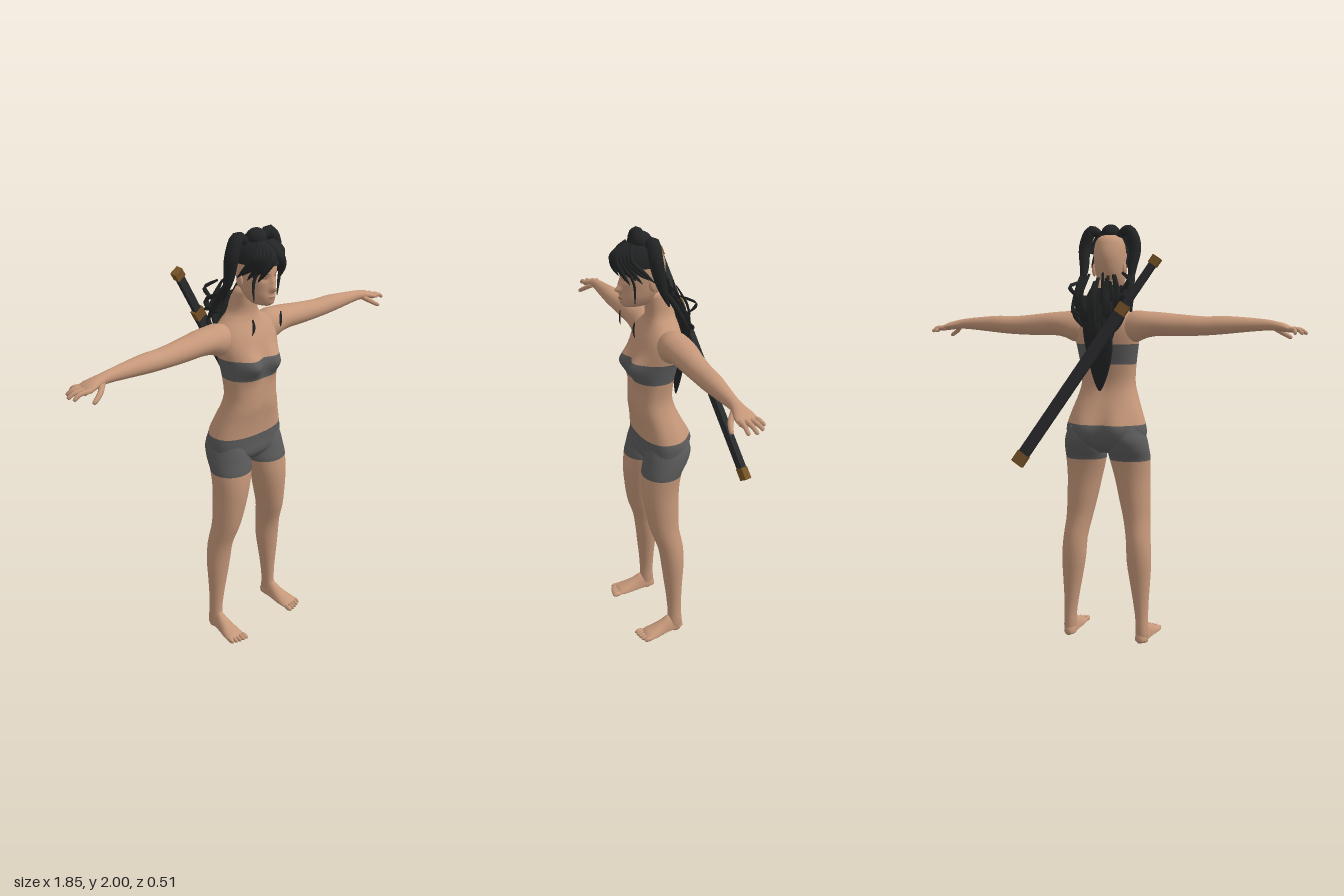
import * as THREE from 'three';

const mat = (name, color, side = THREE.FrontSide) => {
  const m = new THREE.MeshStandardMaterial({ color, side });
  m.name = name;
  return m;
};

// Smooth interpolation of key rows; the first column is the parameter
function at(keys, t) {
  let i = 0;
  while (i < keys.length - 2 && t > keys[i + 1][0]) i++;
  const a = keys[i], b = keys[i + 1], p = keys[Math.max(i - 1, 0)], n = keys[Math.min(i + 2, keys.length - 1)];
  const h = b[0] - a[0], u = (t - a[0]) / h, u2 = u * u, u3 = u2 * u;
  return a.map((v, c) => {
    const ma = (b[c] - p[c]) / (b[0] - p[0]) * h, mb = (n[c] - v) / (n[0] - a[0]) * h;
    return (2 * u3 - 3 * u2 + 1) * v + (u3 - 2 * u2 + u) * ma + (3 * u2 - 2 * u3) * b[c] + (u3 - u2) * mb;
  });
}

// Parameter values that hit every cut line, with n steps in each span
function spans(cuts, n) {
  const out = [cuts[0]];
  for (let i = 1; i < cuts.length; i++)
    for (let k = 1; k <= n; k++) out.push(cuts[i - 1] + (cuts[i] - cuts[i - 1]) * k / n);
  return out;
}

// Closed skin over rings of points; band(t) picks the material of each strip
function loft(ts, seg, point, band = () => 0) {
  const pos = [], strips = [], rings = ts.length;
  for (const t of ts) for (let j = 0; j < seg; j++) pos.push(...point(t, j / seg * Math.PI * 2));
  for (const r of [0, rings - 1]) {
    const c = [0, 0, 0];
    for (let j = 0; j < seg; j++) for (let k = 0; k < 3; k++) c[k] += pos[(r * seg + j) * 3 + k] / seg;
    pos.push(...c);
  }
  for (let i = 0; i < rings - 1; i++) {
    const tris = [];
    for (let j = 0; j < seg; j++) {
      const k = (j + 1) % seg, a = i * seg + j, b = i * seg + k, c = a + seg, d = b + seg;
      tris.push([a, c, b], [b, c, d]);
      if (i === 0) tris.push([rings * seg, a, b]);
      if (i === rings - 2) tris.push([rings * seg + 1, d, c]);
    }
    strips.push({ tris, m: band((ts[i] + ts[i + 1]) / 2) });
  }
  // Turn all corners outward by the sign of the enclosed volume
  const V = i => new THREE.Vector3(pos[i * 3], pos[i * 3 + 1], pos[i * 3 + 2]);
  let vol = 0;
  for (const s of strips) for (const [a, b, c] of s.tris) vol += V(a).dot(V(b).cross(V(c)));
  const g = new THREE.BufferGeometry(), index = [];
  for (const s of strips) {
    g.addGroup(index.length, s.tris.length * 3, s.m);
    for (const [a, b, c] of s.tris) index.push(a, ...(vol < 0 ? [c, b] : [b, c]));
  }
  g.setIndex(index);
  g.setAttribute('position', new THREE.Float32BufferAttribute(pos, 3));
  g.computeVertexNormals();
  return g;
}

// Tapered lock, finger or blade along a curve
function strand(points, w, d, taper, n = 10, seg = 8) {
  const curve = new THREE.CatmullRomCurve3(points.map(p => new THREE.Vector3(...p)));
  return loft(spans([0, 1], n), seg, (t, a) => {
    const tan = curve.getTangent(t), p = curve.getPoint(t);
    const ref = Math.abs(tan.z) > 0.85 ? new THREE.Vector3(0, 1, 0) : new THREE.Vector3(0, 0, 1);
    const u = new THREE.Vector3().crossVectors(tan, ref).normalize(), v = new THREE.Vector3().crossVectors(u, tan);
    const r = Math.max(0.05, taper(t));
    return p.addScaledVector(u, Math.cos(a) * w * r).addScaledVector(v, Math.sin(a) * d * r).toArray();
  });
}
const blade = t => Math.pow(Math.sin(Math.PI * (0.12 + 0.87 * t)), 0.7);
const finger = t => (t > 0.95 ? 0.5 : 1 - 0.3 * t);
const bump = (x, y, cx, cy, sx, sy) => Math.exp(-(((x - cx) / sx) ** 2) - ((y - cy) / sy) ** 2);

export function createModel() {
  const model = new THREE.Group();
  const skin = mat('skin', 0xc6987a), cloth = mat('grey cloth', 0x5c5c5c), hair = mat('black hair', 0x232425, THREE.DoubleSide);
  const feature = mat('brow and lip', 0x94674f), sheath = mat('dark sheath', 0x2b2c2e), brass = mat('brown fittings', 0x7a5628);
  const add = (name, geo, m, parent = model) => {
    const mesh = new THREE.Mesh(geo, m);
    mesh.name = name;
    parent.add(mesh);
    return mesh;
  };
  const ball = (name, m, p, s) => {
    const mesh = add(name, new THREE.SphereGeometry(1, 20, 14), m);
    mesh.position.set(...p);
    mesh.scale.set(...s);
  };

  // Torso: height, half width, front z, back z
  const torso = [[0.93, 0.1, 0.12, 0.01], [0.97, 0.18, 0.152, -0.035], [1.03, 0.196, 0.155, -0.055], [1.07, 0.19, 0.156, -0.055],
    [1.15, 0.163, 0.165, -0.035], [1.2, 0.145, 0.174, -0.017], [1.26, 0.13, 0.175, -0.004], [1.35, 0.135, 0.172, -0.014],
    [1.42, 0.145, 0.17, -0.03], [1.5, 0.158, 0.152, -0.044], [1.55, 0.15, 0.132, -0.043], [1.585, 0.125, 0.112, -0.038],
    [1.61, 0.085, 0.1, -0.033], [1.64, 0.062, 0.096, -0.028], [1.68, 0.056, 0.1, -0.02], [1.74, 0.05, 0.1, 0.02]];
  add('torso', loft(spans([0.93, 1.07, 1.35, 1.445, 1.74], 12), 56, (y, a) => {
    const [, rx, zf, zb] = at(torso, y), c = Math.cos(a), s = Math.sin(a);
    const x = rx * Math.sign(c) * Math.abs(c) ** 0.85;
    let z = (zf + zb) / 2 + (zf - zb) / 2 * Math.sign(s) * Math.abs(s) ** 0.85;
    const ax = Math.abs(x);
    if (s > 0) z += s * (0.045 * bump(ax, y, 0.07, 1.415, 0.05, 0.05) - 0.006 * bump(x, y, 0, 1.19, 0.012, 0.015));
    else z += s * (0.034 * bump(ax, y, 0.085, 1.035, 0.07, 0.085) - 0.008 * bump(x, y, 0, 1.35, 0.02, 0.15));
    return [x, y, z];
  }, y => (y < 1.07 || (y > 1.35 && y < 1.445) ? 1 : 0)), [skin, cloth]);

  // Leg: height, centre x, half width, front z, back z
  const leg = [[0, 0.188, 0.026, 0.07, 0.01], [0.04, 0.186, 0.031, 0.08, 0.002], [0.1, 0.184, 0.03, 0.075, 0.006], [0.2, 0.178, 0.038, 0.08, 0.004],
    [0.3, 0.172, 0.05, 0.09, -0.002], [0.4, 0.166, 0.06, 0.1, -0.01], [0.5, 0.16, 0.06, 0.115, -0.008], [0.6, 0.146, 0.065, 0.148, 0.008],
    [0.7, 0.133, 0.076, 0.165, 0.005], [0.8, 0.121, 0.086, 0.175, 0], [0.9, 0.11, 0.1, 0.17, -0.018], [0.95, 0.107, 0.1, 0.16, -0.048],
    [1, 0.104, 0.095, 0.15, -0.066], [1.06, 0.1, 0.08, 0.13, -0.055]];
  // Foot along z: centre x, half width, height
  const foot = [[0.002, 0.184, 0.016, 0.035], [0.02, 0.184, 0.029, 0.065], [0.07, 0.186, 0.031, 0.09], [0.11, 0.188, 0.037, 0.068],
    [0.16, 0.192, 0.046, 0.045], [0.2, 0.195, 0.047, 0.03], [0.215, 0.195, 0.042, 0.018]];
  // Arm along x: centre y, half height, centre z, half depth
  const arm = [[0.1, 1.525, 0.06, 0.038, 0.06], [0.15, 1.527, 0.073, 0.036, 0.07], [0.2, 1.535, 0.061, 0.034, 0.07], [0.25, 1.538, 0.055, 0.035, 0.066],
    [0.35, 1.533, 0.05, 0.04, 0.055], [0.47, 1.53, 0.043, 0.045, 0.047], [0.55, 1.534, 0.041, 0.05, 0.044], [0.65, 1.536, 0.033, 0.056, 0.034],
    [0.75, 1.535, 0.024, 0.06, 0.025], [0.79, 1.53, 0.021, 0.06, 0.031], [0.83, 1.522, 0.018, 0.06, 0.043], [0.865, 1.51, 0.009, 0.058, 0.042]];
  const tips = [[0.875, 0.002], [0.905, 0.022], [0.922, 0.055], [0.915, 0.088]];

  for (const s of [1, -1]) {
    const side = s > 0 ? 'left ' : 'right ';
    add(side + 'leg', loft(spans([0, 0.895, 1.06], 20), 32, (y, a) => {
      const [, cx, rx, zf, zb] = at(leg, y);
      return [s * (cx + rx * Math.cos(a)), y, (zf + zb) / 2 + (zf - zb) / 2 * Math.sin(a)];
    }, y => (y > 0.895 ? 1 : 0)), [skin, cloth]);
    add(side + 'foot', loft(spans([0.002, 0.215], 16), 24, (z, a) => {
      const [, cx, rx, h] = at(foot, z), sn = Math.sin(a);
      return [s * (cx + rx * Math.cos(a)), sn > 0 ? 0.012 + (h - 0.012) * sn : 0.012 + 0.012 * sn, z];
    }), skin);
    for (let i = 0; i < 5; i++)
      ball(side + 'toe', skin, [s * (0.158 + i * 0.0185), 0.013, 0.222 - 0.0025 * i * i * 0.5], [i ? 0.0095 : 0.013, 0.013, 0.024]);
    add(side + 'arm', loft(spans([0.1, 0.865], 40), 28, (x, a) => {
      const [, cy, ry, cz, rz] = at(arm, x);
      return [s * x, cy + ry * Math.sin(a), cz + rz * Math.cos(a)];
    }), skin);
    tips.forEach(([x, z], i) => add(side + 'finger', strand(
      [[s * 0.835, 1.517, 0.03 + i * 0.02], [s * (x * 0.5 + 0.43), 1.515, (z + 0.03 + i * 0.02) / 2], [s * x, 1.497, z]], 0.011, 0.011, finger), skin));
    add(side + 'thumb', strand([[s * 0.775, 1.525, 0.075], [s * 0.81, 1.5, 0.107], [s * 0.85, 1.477, 0.122]], 0.013, 0.013, finger), skin);
    ball(side + 'ear', skin, [s * 0.075, 1.79, 0.095], [0.01, 0.03, 0.018]);
  }

  // Head: height, half width, front z, back z
  const head = [[1.688, 0.03, 0.2, 0.09], [1.7, 0.043, 0.213, 0.072], [1.73, 0.059, 0.214, 0.05], [1.76, 0.067, 0.212, 0.03], [1.8, 0.073, 0.212, 0.016],
    [1.85, 0.076, 0.213, 0.01], [1.9, 0.073, 0.2, 0.022], [1.935, 0.057, 0.172, 0.045], [1.955, 0.022, 0.13, 0.09]];
  const face = (x, y) => 0.026 * bump(x, y, 0, 1.763, 0.012, 0.014) + 0.012 * bump(x, y, 0, 1.79, 0.009, 0.022)
    - 0.009 * bump(Math.abs(x), y, 0.031, 1.808, 0.018, 0.012) + 0.007 * bump(x, y, 0, 1.728, 0.02, 0.011);
  const headPoint = (y, a) => {
    const [, rx, zf, zb] = at(head, y), x = rx * Math.cos(a), sn = Math.sin(a);
    return [x, y, (zf + zb) / 2 + (zf - zb) / 2 * sn + (sn > 0 ? face(x, y) * sn : 0)];
  };
  add('head', loft(spans([1.688, 1.955], 48), 72, headPoint), skin);
  // Brows, eyes and mouth as thin strips laid on the face
  const strip = (name, x0, x1, y, h) => {
    const g = new THREE.PlaneGeometry(x1 - x0, h, 10, 2).translate((x0 + x1) / 2, y, 0), p = g.attributes.position;
    for (let i = 0; i < p.count; i++)
      p.setZ(i, headPoint(p.getY(i), Math.acos(p.getX(i) / at(head, p.getY(i))[1]))[2] + 0.0015);
    g.computeVertexNormals();
    add(name, g, feature);
  };
  for (const s of [1, -1]) {
    strip('brow', s * 0.033 - 0.017, s * 0.033 + 0.017, 1.827, 0.004);
    strip('eye', s * 0.032 - 0.011, s * 0.032 + 0.011, 1.808, 0.005);
  }
  strip('mouth', -0.018, 0.018, 1.728, 0.004);

  // Hair: front cap, bun, fringe, side tails and loose back locks
  const cap = new THREE.SphereGeometry(1, 32, 16, 0, Math.PI, 0, Math.PI * 0.5).scale(0.088, 0.108, 0.16).translate(0, 1.863, 0.07);
  add('hair cap', cap, hair);
  ball('bun', hair, [0, 1.957, 0.115], [0.045, 0.043, 0.045]);
  for (const s of [1, -1]) {
    const lock = (name, w, d, ...pts) => add(name, strand(pts.map(p => [s * p[0], p[1], p[2]]), w, d, blade, 16), hair);
    for (let i = 0; i < 5; i++)
      lock('fringe lock', 0.02, 0.012, [0.01 + i * 0.006, 1.955, 0.17], [0.02 + i * 0.013, 1.905, 0.235 - i * 0.011],
        [0.048 + i * 0.008, 1.855, 0.226 - i * 0.02], [0.066 + i * 0.005, 1.8 + (i % 2) * 0.015, 0.195 - i * 0.026]);
    lock('face lock', 0.009, 0.005, [0.055, 1.88, 0.21], [0.074, 1.8, 0.18], [0.068, 1.71, 0.175]);
    lock('side tail', 0.03, 0.032, [0.04, 1.945, 0.1], [0.09, 1.968, 0.1], [0.123, 1.9, 0.1], [0.118, 1.8, 0.075], [0.118, 1.7, 0.04]);
    lock('side tail end', 0.02, 0.012, [0.122, 1.77, 0.06], [0.125, 1.69, 0.01], [0.145, 1.6, -0.035]);
    lock('loose lock', 0.008, 0.003, [0.083, 1.64, 0.185], [0.08, 1.6, 0.19], [0.085, 1.57, 0.185]);
  }
  let seed = 7;
  const rnd = () => (seed = (seed * 16807) % 2147483647) / 2147483647;
  add('back hair', strand([[0, 1.7, -0.035], [0.01, 1.55, -0.062], [0, 1.4, -0.058], [0.005, 1.23, -0.042]], 0.07, 0.012, blade, 20, 12), hair);
  for (let i = 0; i < 34; i++) {
    const x = (i / 33 - 0.5) * 0.24, top = 1.77 - rnd() * 0.16, end = 1.26 + Math.abs(x) * 2.2 + rnd() * 0.16, z = -0.05 - rnd() * 0.026;
    add('back lock', strand([[x * 0.8, top, -0.012 - rnd() * 0.03], [x * 1.15, (top * 2 + end) / 3, z], [x, (top + end * 2) / 3, z],
      [x * 0.75 + (rnd() - 0.5) * 0.03, end, -0.045 - rnd() * 0.02]], 0.009 + rnd() * 0.007, 0.004, blade, 8, 6), hair);
  }

  // Sword slung across the back, built downward from its pommel
  const top = new THREE.Vector3(-0.275, 1.832, -0.075), end = new THREE.Vector3(0.34, 0.9, -0.245);
  const Y = top.clone().sub(end).normalize(), X = Y.clone().cross(new THREE.Vector3(0, 0, 1)).normalize();
  const sword = new THREE.Group();
  sword.name = 'sword';
  sword.quaternion.setFromRotationMatrix(new THREE.Matrix4().makeBasis(X, Y, X.clone().cross(Y)));
  sword.position.copy(top);
  model.add(sword);
  for (const [name, a, b, w, d, m] of [['pommel', 0, 0.04, 0.044, 0.032, brass], ['handle', 0.04, 0.25, 0.034, 0.024, sheath],
    ['guard', 0.25, 0.3, 0.052, 0.032, brass], ['scabbard', 0.3, 1.07, 0.053, 0.025, sheath], ['scabbard tip', 1.07, 1.128, 0.06, 0.03, brass]])
    add(name, new THREE.BoxGeometry(w, b - a, d).translate(0, -(a + b) / 2, 0), m, sword);
  return model;
}
